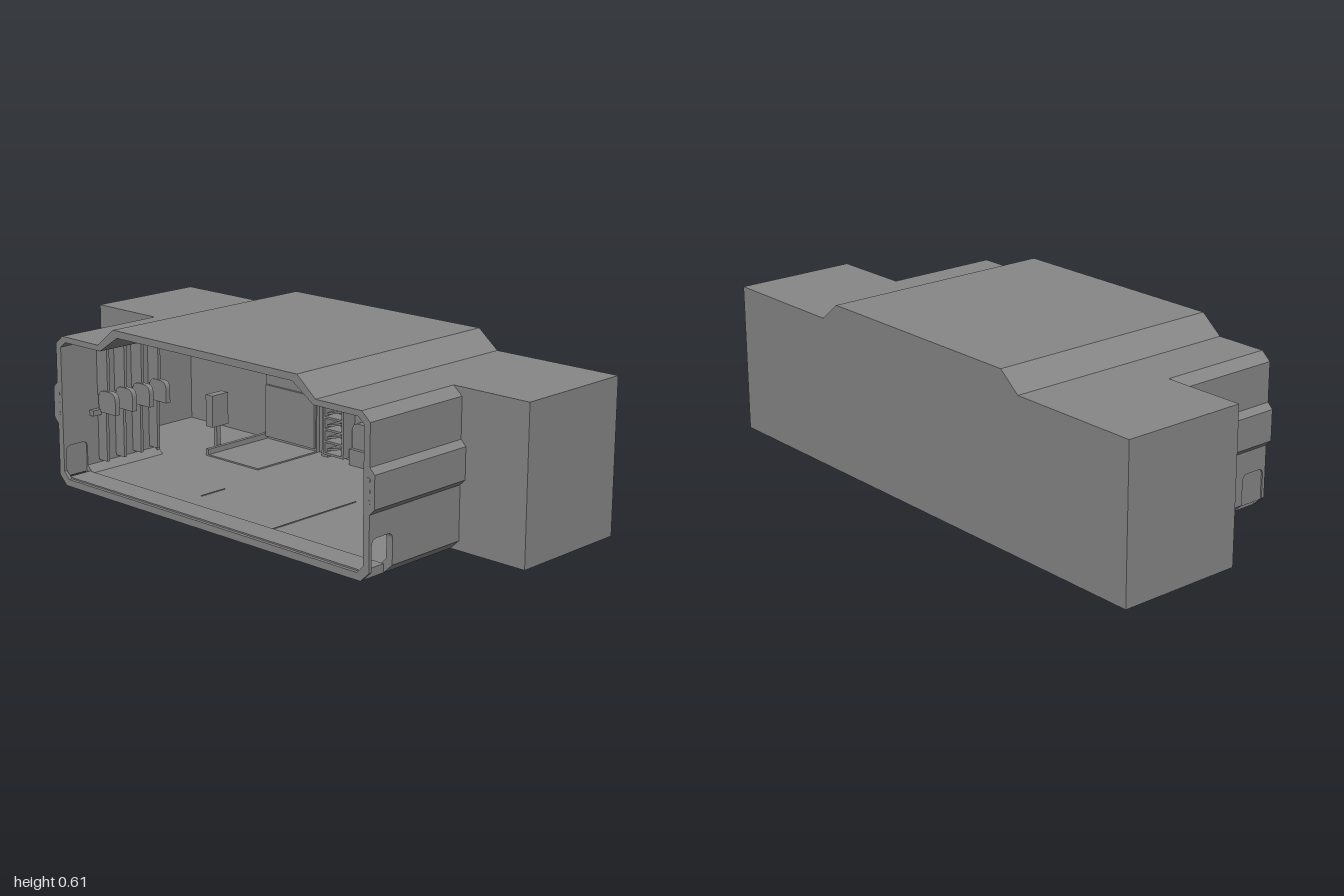
import * as THREE from 'three';

const dark = new THREE.MeshStandardMaterial({ color: 0x878787, flatShading: true });
const pale = new THREE.MeshStandardMaterial({ color: 0xcccccc, flatShading: true });

// mirrors a half outline (listed from the bottom centre up) about x = 0
const mirrored = (half) => half.concat(half.map(([x, y]) => [-x, y]).reverse())
  .map(([x, y]) => new THREE.Vector2(x, y));

export function createModel() {
  const root = new THREE.Group();

  function add(name, geometry, material = dark) {
    const mesh = new THREE.Mesh(geometry, material);
    mesh.name = name;
    root.add(mesh);
    return mesh;
  }
  function box(name, x0, x1, y0, y1, z0, z1, material) {
    const m = add(name, new THREE.BoxGeometry(x1 - x0, y1 - y0, z1 - z0), material);
    m.position.set((x0 + x1) / 2, (y0 + y1) / 2, (z0 + z1) / 2);
    return m;
  }
  function extrude(name, shape, z0, z1) {
    const g = new THREE.ExtrudeGeometry(shape, { depth: z1 - z0, bevelEnabled: false, curveSegments: 6 });
    return add(name, g.translate(0, 0, z0));
  }
  // upright board with rounded top corners
  function board(name, x0, x1, y0, y1, z0, z1, r) {
    const s = new THREE.Shape();
    s.moveTo(x0, y0);
    s.lineTo(x1, y0);
    s.lineTo(x1, y1 - r);
    s.quadraticCurveTo(x1, y1, x1 - r, y1);
    s.lineTo(x0 + r, y1);
    s.quadraticCurveTo(x0, y1, x0, y1 - r);
    s.closePath();
    return extrude(name, s, z0, z1);
  }

  // Front room shell: raised roof, chamfered edges and a side rail
  const upperOuter = [[0.735, 0.22], [0.755, 0.24], [0.755, 0.35], [0.735, 0.37],
    [0.735, 0.51], [0.7, 0.54], [0.51, 0.54], [0.43, 0.605]];
  const upperInner = [[0.71, 0.5], [0.685, 0.52], [0.5, 0.52], [0.41, 0.58]];
  function shell(z0, z1) {
    const s = new THREE.Shape(mirrored([[0.7, 0], [0.735, 0.033], ...upperOuter]));
    s.holes.push(new THREE.Path(mirrored([[0.685, 0.025], [0.71, 0.05], ...upperInner])));
    extrude('roomShell', s, z0, z1);
  }
  shell(0, 0.335);
  shell(0.43, 0.442);

  // Slice of the shell that is open low down for the side hatches
  const arch = [[0.735, 0.14], ...upperOuter];
  const inner = [[0.71, 0.14], ...upperInner];
  const path = [...arch, ...arch.map(([x, y]) => [-x, y]).reverse(),
    ...inner.map(([x, y]) => [-x, y]), ...inner.slice().reverse()];
  extrude('hatchArch', new THREE.Shape(path.map(([x, y]) => new THREE.Vector2(x, y))), 0.335, 0.43);
  box('hatchFloor', -0.7, 0.7, 0, 0.03, 0.335, 0.43);
  box('hatchCover', -0.73, -0.715, 0.028, 0.145, 0.335, 0.43);

  // Wide hollow rear block
  const rearOutline = mirrored([[1, 0], [1, 0.54], [0.51, 0.54], [0.43, 0.605]]);
  const rear = new THREE.Shape(rearOutline);
  rear.holes.push(new THREE.Path(mirrored([[0.98, 0.025], [0.98, 0.52], [0.5, 0.52], [0.41, 0.58]])));
  extrude('rearBlock', rear, -0.42, 0);
  extrude('rearWall', new THREE.Shape(rearOutline), -0.442, -0.42);

  for (const s of [-1, 1]) {
    const side = (name, a, b, ...rest) => box(name, Math.min(s * a, s * b), Math.max(s * a, s * b), ...rest);
    const sideBoard = (name, a, b, ...rest) => board(name, Math.min(s * a, s * b), Math.max(s * a, s * b), ...rest);

    // Front faces of the wide wings
    side('wingFront', 0.7, 1, 0, 0.54, 0, 0.015);

    // Rounded corners of the hatch
    for (const [z, d] of [[0.335, 1], [0.43, -1]]) {
      const c = new THREE.Shape();
      c.moveTo(0, 0);
      c.lineTo(0, -0.022);
      c.quadraticCurveTo(0, 0, d * 0.022, 0);
      c.closePath();
      const g = new THREE.ExtrudeGeometry(c, { depth: 0.025, bevelEnabled: false, curveSegments: 5 });
      const m = add('hatchCorner', g.rotateY(-Math.PI / 2));
      m.position.set(s > 0 ? 0.735 : -0.71, 0.14, z);
    }

    // Latch pins nearly flush with the rail ends
    for (const y of [0.26, 0.295, 0.33]) {
      const pin = add('railPin', new THREE.CylinderGeometry(0.008, 0.008, 0.006, 10).rotateX(Math.PI / 2));
      pin.position.set(s * 0.73, y, 0.4398);
    }

    // Slim ribs, rounded rests and rails along the side walls
    for (let i = 0; i < 4; i++) {
      const z = 0.03 + i * 0.08;
      side('wallRib', 0.655, 0.71, 0.3, 0.52, z, z + 0.012);
      sideBoard('wallRest', 0.61, 0.7, 0.24, 0.32, z - 0.004, z + 0.016, 0.03);
      side('wallPost', 0.665, 0.71, 0.06, 0.24, z, z + 0.012);
    }
    side('wallRail', 0.69, 0.712, 0.23, 0.25, 0.02, 0.32);

    // Free-standing locker on a post
    side('locker', 0.565, 0.6, 0.12, 0.24, -0.22, -0.14);
    side('lockerPost', 0.575, 0.59, 0.025, 0.12, -0.19, -0.17);

    // Berth with a rounded backboard, floor mat and low frame
    sideBoard('berthBackboard', 0.29, 0.55, 0.025, 0.4, -0.42, -0.405, 0.04);
    side('berthCushion', 0.295, 0.545, 0.04, 0.24, -0.41, -0.395);
    side('berthMat', 0.29, 0.545, 0.025, 0.03, -0.41, -0.1);
    side('berthRail', 0.545, 0.56, 0.025, 0.05, -0.41, -0.1);

    // Wall pillars and slim roof struts
    side('backPillar', 0.22, 0.25, 0.025, 0.58, -0.42, -0.39);
    side('pillarHead', 0.24, 0.33, 0.565, 0.58, -0.42, -0.36);
    const strut = box('roofStrut', -0.008, 0.008, 0.4, 0.575, -0.008, 0.008);
    strut.position.x = s * 0.405;
    strut.position.z = -0.405;
    strut.rotation.y = Math.PI / 4;

    // Pale blocks on the shelf
    side('shelfBlock', 0.075, 0.135, 0.33, 0.38, -0.41, -0.36, pale);
  }

  // Floor tracks: a long one and a short one
  box('floorTrack', 0.21, 0.214, 0.025, 0.028, -0.07, 0.37);
  box('floorTrack', -0.214, -0.21, 0.025, 0.028, 0.14, 0.25);

  // Shelf and rounded panel in the centre of the rear wall
  box('shelf', -0.17, 0.165, 0.312, 0.33, -0.42, -0.35);
  board('centrePanel', -0.1, 0.1, 0.025, 0.18, -0.42, -0.39, 0.03);
  box('panelStep', -0.1, 0.1, 0.025, 0.085, -0.4, -0.375);

  // Open racks with slanted trays
  function rack(x0, x1, y0, y1, tiers) {
    for (const x of [x0, x1 - 0.01]) box('rackSide', x, x + 0.01, y0, y1, -0.42, -0.36);
    for (let i = 0; i <= tiers; i++) {
      const y = y0 + (y1 - y0 - 0.008) * i / tiers;
      box('rackTier', x0, x1, y, y + 0.008, -0.42, -0.36);
      if (i < tiers) {
        const tray = box('rackTray', x0 + 0.012, x1 - 0.012, y + 0.022, y + 0.03, -0.42, -0.37);
        tray.rotation.z = 0.25;
      }
    }
  }
  rack(-0.215, -0.115, 0.045, 0.235, 4);
  rack(0.16, 0.255, 0.045, 0.155, 2);

  return root;
}
